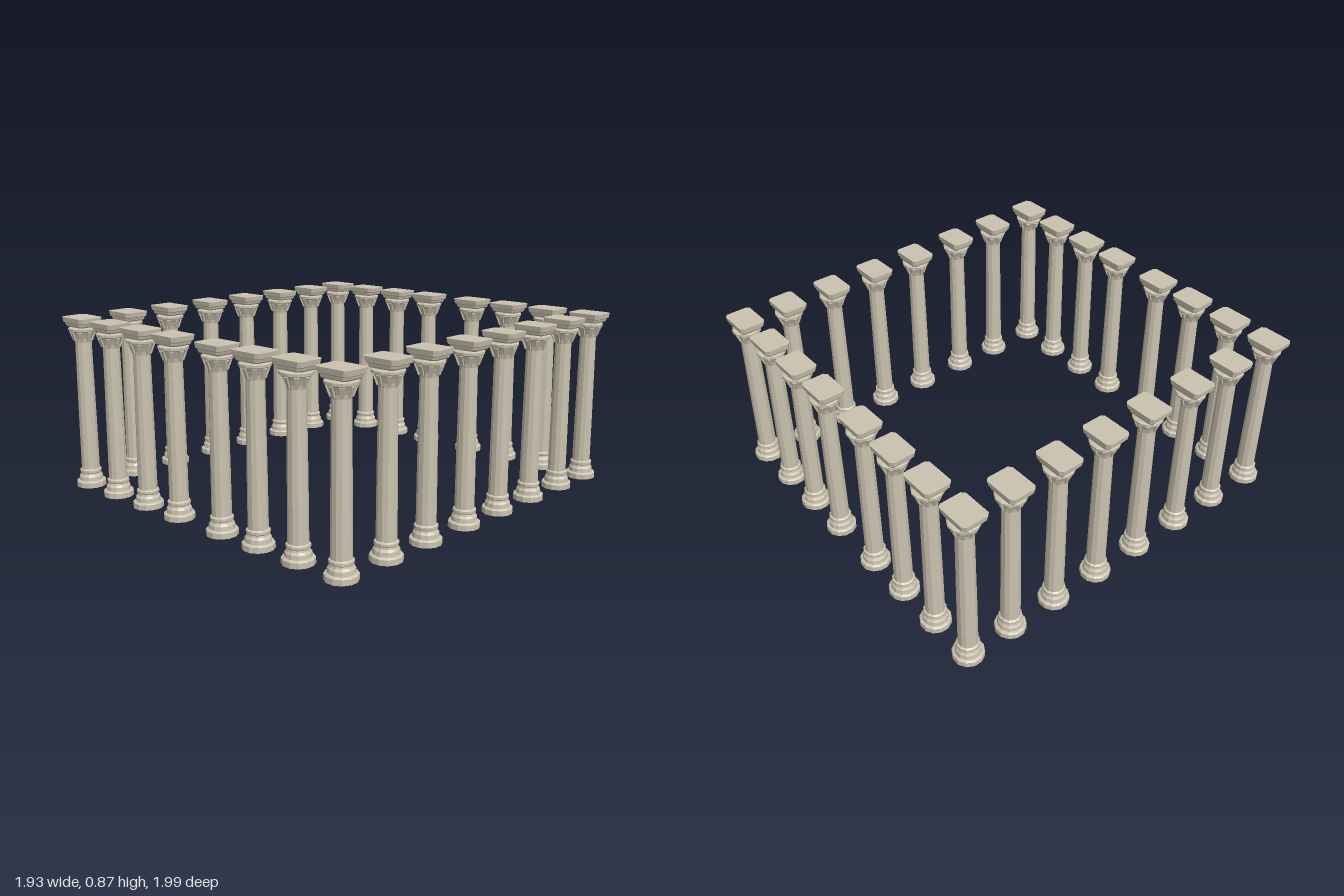
import * as THREE from 'three';

const stone = new THREE.MeshStandardMaterial({ color: 0xcbc3b0, flatShading: true });
const SIDES = 12;

// Turned part from [radius, height] pairs, bottom to top
function turned(points) {
  const geo = new THREE.LatheGeometry(points.map(([r, y]) => new THREE.Vector2(r, y)), SIDES);
  return geo.rotateY(Math.PI / SIDES);
}

// Stacked chamfered rectangles: [halfWidth, halfDepth, chamfer, y], bottom to top, capped
function slab(sections) {
  const pos = [], idx = [], n = 8;
  for (const [w, d, c, y] of sections) {
    const ring = [[w, d - c], [w - c, d], [c - w, d], [-w, d - c], [-w, c - d], [c - w, -d], [w - c, -d], [w, c - d]];
    for (const [x, z] of ring) pos.push(x, y, z);
  }
  for (let s = 0; s < sections.length - 1; s++) {
    for (let i = 0; i < n; i++) {
      const a = s * n + i, b = s * n + (i + 1) % n;
      idx.push(a, a + n, b, b, a + n, b + n);
    }
  }
  const top = (sections.length - 1) * n;
  for (let i = 1; i < n - 1; i++) {
    idx.push(0, i, i + 1);
    idx.push(top, top + i + 1, top + i);
  }
  const geo = new THREE.BufferGeometry();
  geo.setAttribute('position', new THREE.Float32BufferAttribute(pos, 3));
  geo.setIndex(idx);
  geo.computeVertexNormals();
  return geo;
}

// Thin leaf leaning outward against the flare of the capital
function leafGeometry() {
  const geo = new THREE.BoxGeometry(0.02, 0.05, 0.008);
  const p = geo.attributes.position;
  for (let i = 0; i < p.count; i++) if (p.getY(i) < 0) p.setX(i, p.getX(i) * 0.6);
  return geo.rotateX(0.36).translate(0, 0.775, 0.052);
}

const parts = {
  base: turned([[0, 0], [0.074, 0], [0.074, 0.026], [0.068, 0.031], [0.061, 0.033], [0.059, 0.052],
    [0.052, 0.062], [0.050, 0.070], [0.054, 0.074], [0.054, 0.086], [0.047, 0.091], [0.043, 0.094]]),
  shaft: turned([[0.046, 0.088], [0.045, 0.3], [0.041, 0.755]]),
  capitalBell: turned([[0.041, 0.745], [0.045, 0.765], [0.054, 0.785], [0.062, 0.800], [0.071, 0.804],
    [0.072, 0.816], [0.064, 0.820], [0.050, 0.822], [0.050, 0.832]]),
  abacus: slab([[0.066, 0.053, 0.012, 0.824], [0.072, 0.057, 0.014, 0.830], [0.076, 0.059, 0.015, 0.842],
    [0.083, 0.064, 0.015, 0.846], [0.087, 0.067, 0.015, 0.870]]),
};
const leaf = leafGeometry();

function createColumn(x, z) {
  const column = new THREE.Group();
  column.name = 'column';
  for (const [name, geo] of Object.entries(parts)) {
    const mesh = new THREE.Mesh(geo, stone);
    mesh.name = name;
    column.add(mesh);
  }
  const leaves = new THREE.Group();
  leaves.name = 'capitalLeaves';
  for (let i = 0; i < 8; i++) {
    const mesh = new THREE.Mesh(leaf, stone);
    mesh.name = 'leaf';
    mesh.rotation.y = (i * Math.PI) / 4;
    leaves.add(mesh);
  }
  column.add(leaves);
  column.position.set(x, 0, z);
  return column;
}

export function createModel() {
  const model = new THREE.Group();
  model.name = 'colonnade';

  // Front and back rows, with a wider gap in the middle
  const rowX = [-0.88, -0.64, -0.395, -0.155, 0.15, 0.39, 0.635, 0.88];
  for (const [name, z] of [['frontRow', 0.925], ['backRow', -0.925]]) {
    const row = new THREE.Group();
    row.name = name;
    for (const x of rowX) row.add(createColumn(x, z));
    model.add(row);
  }

  // Side rows between the corner columns
  const sideZ = [-0.685, -0.425, -0.16, 0.105, 0.385, 0.65];
  for (const [name, x] of [['leftRow', 0.88], ['rightRow', -0.88]]) {
    const row = new THREE.Group();
    row.name = name;
    for (const z of sideZ) row.add(createColumn(x, z));
    model.add(row);
  }
  return model;
}
